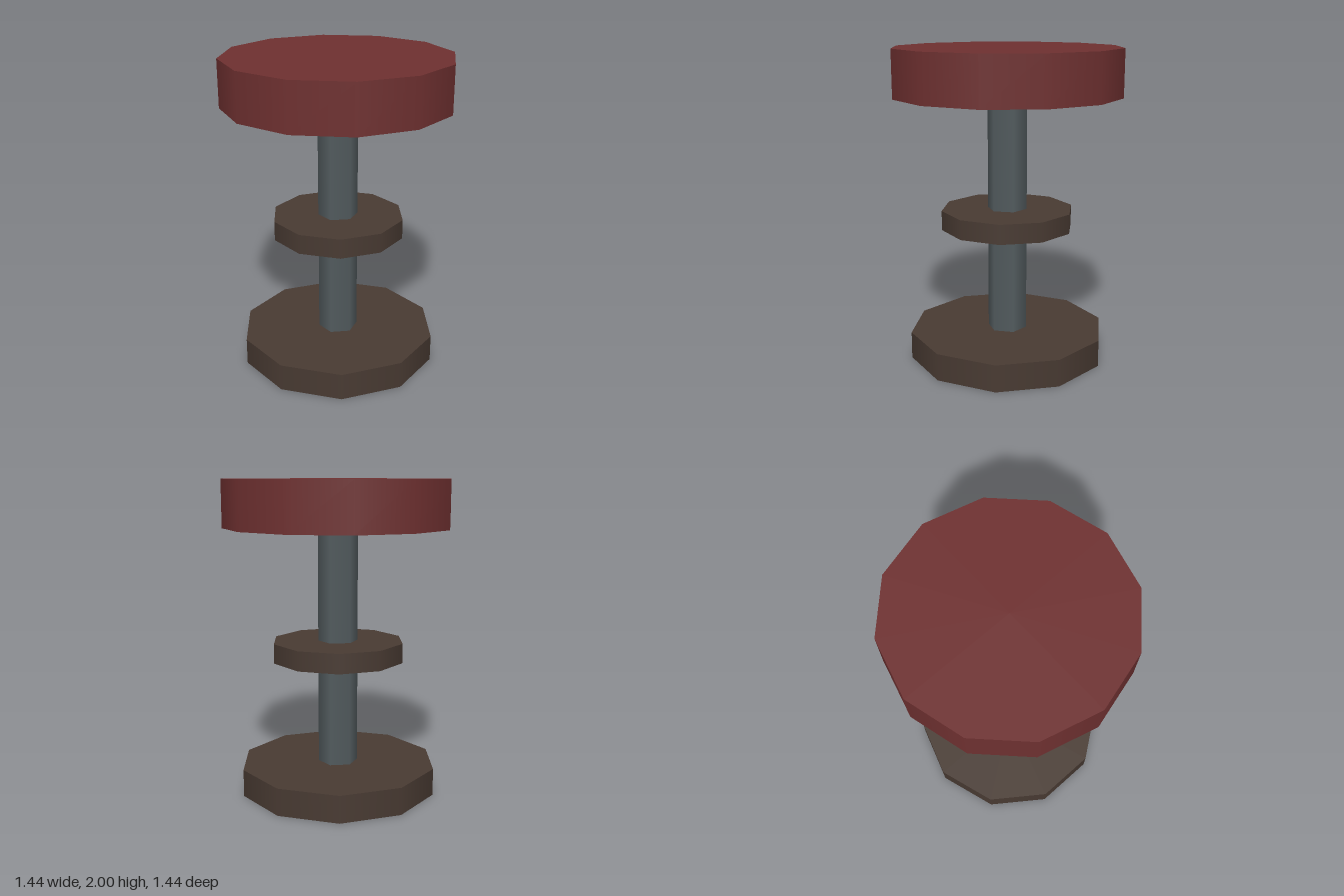
import * as THREE from 'three';

export function createModel() {
  const stool = new THREE.Group();
  stool.name = 'barStool';

  const material = (name, color) => {
    const m = new THREE.MeshStandardMaterial({ color });
    m.name = name;
    return m;
  };
  const redLeather = material('red leather', 0x6e3030);
  const greySteel = material('grey steel', 0x525b5e);
  const darkWood = material('dark wood', 0x483a32);

  // Upright disc or post with a corner pointing along +x
  const addDisc = (name, radius, bottom, top, sides, mat) => {
    const geometry = new THREE.CylinderGeometry(radius, radius, top - bottom, sides);
    geometry.rotateY(Math.PI / 2);
    const mesh = new THREE.Mesh(geometry, mat);
    mesh.name = name;
    mesh.position.y = (bottom + top) / 2;
    stool.add(mesh);
  };

  addDisc('base', 0.637, 0, 0.174, 10, darkWood);
  addDisc('post', 0.127, 0.1, 1.75, 6, greySteel);
  addDisc('footRest', 0.425, 0.855, 0.98, 10, darkWood);
  addDisc('seat', 0.722, 1.7, 2, 12, redLeather);

  return stool;
}
